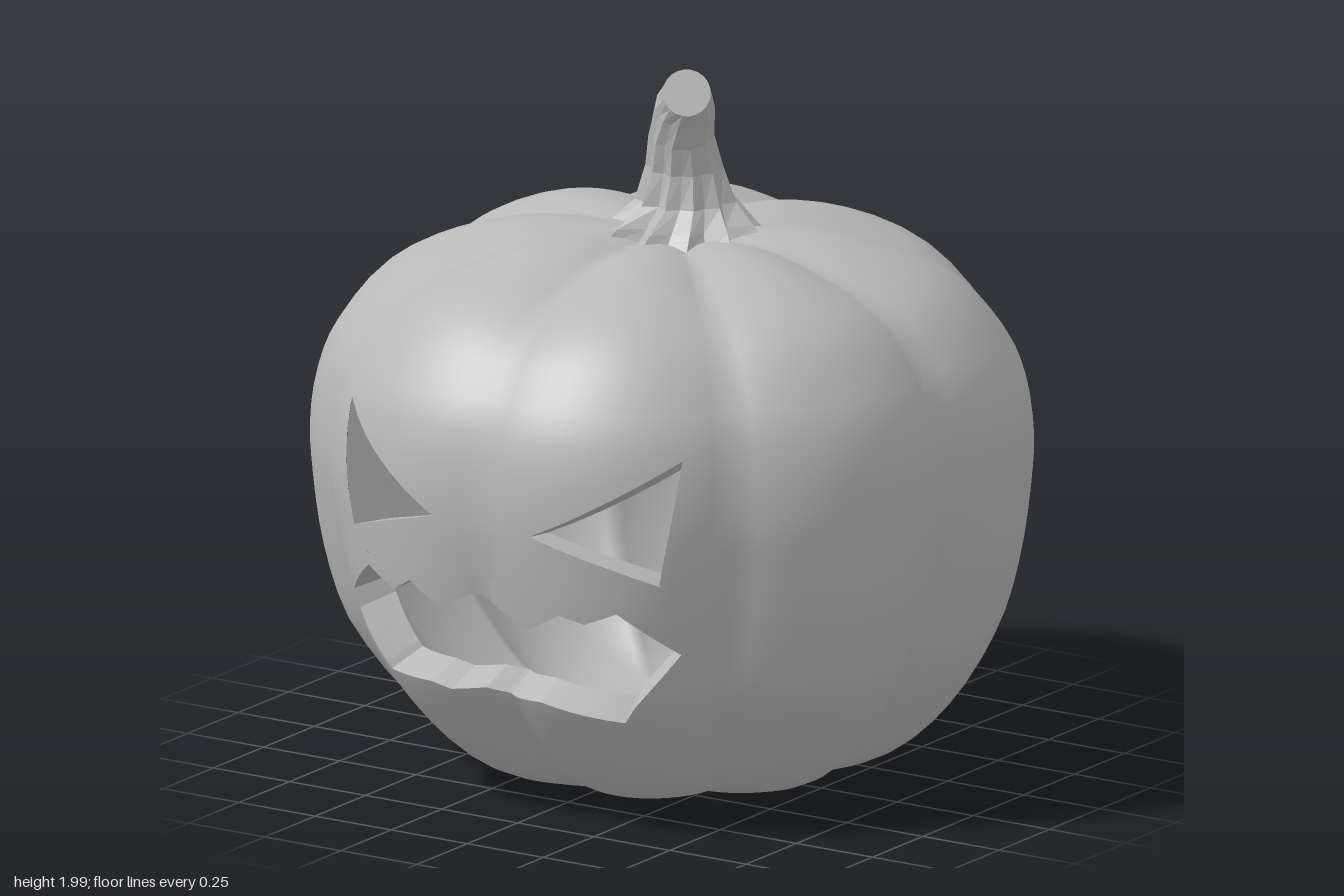
import * as THREE from 'three';

const V2 = (x, y) => new THREE.Vector2(x, y);
const WALL = 0.88; // inner skin scale about the centre
const CENTRE = new THREE.Vector3(0, 0.76, 0);

// Radius and height from the base centre up to the stem seat
const profile = new THREE.SplineCurve([
  [0, 0.025], [0.2, 0.015], [0.4, 0.004], [0.59, 0.06], [0.75, 0.2], [0.885, 0.4], [0.955, 0.6], [0.99, 0.8],
  [1, 0.95], [0.98, 1.1], [0.925, 1.23], [0.8, 1.38], [0.62, 1.475], [0.4, 1.53], [0.2, 1.525], [0, 1.5],
].map(([r, y]) => V2(r, y)));

// Eight lobes: radius at each crease and at each crest, from the front round by the left
const crease = [0.93, 0.9, 0.905, 0.96, 0.92, 0.975, 0.905, 0.945];
const crest = [0.975, 0.96, 1.0, 0.99, 1.02, 1.0, 0.985, 0.975];

function skin(theta, t) {
  const { x: r, y } = profile.getPoint(THREE.MathUtils.clamp(t, 0, 1));
  const a = (theta / (Math.PI / 4) + 16) % 8, i = Math.floor(a), f = a - i;
  const c0 = crease[i], c1 = crease[(i + 1) % 8], arch = Math.sin(Math.PI * f);
  const low = Math.max(0, 1 - y / 0.85), high = Math.max(0, (y - 1.2) / 0.3);
  const lobe = c0 + (c1 - c0) * f + (crest[i] - (c0 + c1) / 2) * Math.pow(arch, 0.8) + 0.09 * low * (arch - 0.64);
  const dip = 0.035 * high * Math.min(1, r * 2) * (1 - arch);
  const back = 0.05 * Math.max(0, 1 - y / 0.4);
  return new THREE.Vector3(r * lobe * Math.sin(theta), y - dip, r * lobe * Math.cos(theta) - back);
}
// The inner skin is slid sideways a little so the cuts run more nearly straight back
const slide = (theta) => theta + 0.05 * Math.sin(theta);
const innerSkin = (theta, t) => skin(slide(theta), t).sub(CENTRE).multiplyScalar(WALL).add(CENTRE);

function skinNormal(theta, t) {
  const e = 0.015;
  const u = skin(theta + e, t).sub(skin(theta - e, t));
  const v = skin(theta, t + e).sub(skin(theta, t - e));
  const n = u.cross(v);
  return n.length() < 1e-6 ? n.set(0, t < 0.5 ? -1 : 1, 0) : n.normalize();
}

// Front position (x, y) to skin coordinates (theta, t)
function bisect(lo, hi, f, target) {
  for (let k = 0; k < 40; k++) {
    const m = (lo + hi) / 2;
    if (f(m) < target) lo = m; else hi = m;
  }
  return (lo + hi) / 2;
}
function toSkin([x, y]) {
  const t = bisect(2 / 15, 13 / 15, (s) => profile.getPoint(s).y, y);
  return V2(bisect(-1.2, 1.2, (a) => skin(a, t).x, x), t);
}

// Part of a convex polygon on one side of the line a-b
const side = (p, a, b) => (b.x - a.x) * (p.y - a.y) - (b.y - a.y) * (p.x - a.x);
function clip(poly, a, b, sign) {
  const out = [];
  poly.forEach((p, i) => {
    const q = poly[(i + 1) % poly.length];
    const dp = sign * side(p, a, b), dq = sign * side(q, a, b);
    if (dp >= 0) out.push(p);
    if (dp * dq < 0) out.push(p.clone().lerp(q, dp / (dp - dq)));
  });
  return out;
}
const solid = (poly) => poly.length > 2 && Math.abs(THREE.ShapeUtils.area(poly)) > 1e-9;

// Cuts a convex hole out of a convex polygon, leaving convex pieces
function subtract(poly, hole) {
  const out = [];
  let rest = poly;
  for (let i = 0; i < hole.length; i++) {
    const a = hole[i], b = hole[(i + 1) % hole.length];
    const outside = clip(rest, a, b, -1);
    if (solid(outside)) out.push(outside);
    rest = clip(rest, a, b, 1);
    if (!solid(rest)) return [poly];
  }
  return out;
}

function geometryFrom(positions, normals) {
  const g = new THREE.BufferGeometry();
  g.setAttribute('position', new THREE.Float32BufferAttribute(positions, 3));
  if (normals) g.setAttribute('normal', new THREE.Float32BufferAttribute(normals, 3));
  else g.computeVertexNormals();
  return g;
}

function shellGeometry(pieces, inner) {
  const pos = [], nor = [];
  for (const piece of pieces) {
    for (let i = 1; i < piece.length - 1; i++) {
      const tri = inner ? [piece[0], piece[i + 1], piece[i]] : [piece[0], piece[i], piece[i + 1]];
      for (const p of tri) {
        pos.push(...(inner ? innerSkin : skin)(p.x, p.y).toArray());
        nor.push(...skinNormal(inner ? slide(p.x) : p.x, p.y).multiplyScalar(inner ? -1 : 1).toArray());
      }
    }
  }
  return geometryFrom(pos, nor);
}

// Cut wall joining outer and inner skins round a counterclockwise outline
function rimGeometry(outline) {
  const pos = [], steps = 5;
  outline.forEach((p, i) => {
    const q = outline[(i + 1) % outline.length];
    for (let k = 0; k < steps; k++) {
      const a = p.clone().lerp(q, k / steps), b = p.clone().lerp(q, (k + 1) / steps);
      const ao = skin(a.x, a.y), bo = skin(b.x, b.y), ai = innerSkin(a.x, a.y), bi = innerSkin(b.x, b.y);
      for (const v of [ao, bo, bi, ao, bi, ai]) pos.push(...v.toArray());
    }
  });
  return geometryFrom(pos);
}

// Ridged stem that flares at the foot and bends over at the tip
function stemGeometry() {
  const rings = [ // x, y, z, radius, ridge depth, bend
    [0.03, 1.49, -0.02, 0, 0, 0], [0.03, 1.5, -0.02, 0.21, 0.13, 0], [0.03, 1.545, -0.02, 0.175, 0.13, 0],
    [0.03, 1.6, -0.035, 0.13, 0.08, 0], [0.03, 1.7, -0.03, 0.103, 0.05, 0.1], [0.04, 1.8, 0, 0.088, 0.035, 0.35],
    [0.075, 1.89, 0.035, 0.08, 0.03, 0.65], [0.108, 1.938, 0.075, 0.066, 0, 1], [0.108, 1.938, 0.075, 0, 0, 1],
  ];
  const n = 22, up = new THREE.Vector3(0, 1, 0), tip = new THREE.Vector3(0.5, 0.45, 0.7).normalize();
  const pts = rings.map(([x, y, z, r, ridge, bend], j) => {
    const turn = new THREE.Quaternion().setFromUnitVectors(up, up.clone().lerp(tip, bend).normalize());
    return Array.from({ length: n }, (_, i) => {
      const a = (i / n) * Math.PI * 2 + j * 0.06;
      const s = r * (1 + (i % 2 ? -ridge : ridge) + ridge * 0.4 * Math.sin(i * 2.3));
      return new THREE.Vector3(Math.sin(a) * s, 0, Math.cos(a) * s).applyQuaternion(turn).add(new THREE.Vector3(x, y, z));
    });
  });
  const pos = [];
  for (let j = 0; j < pts.length - 1; j++) {
    for (let i = 0; i < n; i++) {
      const k = (i + 1) % n, a = pts[j][i], b = pts[j][k], c = pts[j + 1][k], d = pts[j + 1][i];
      for (const v of [a, b, c, a, c, d]) pos.push(...v.toArray());
    }
  }
  return geometryFrom(pos);
}

export function createModel() {
  const group = new THREE.Group();
  const grey = new THREE.MeshStandardMaterial({ color: 0xb8b8b8 });
  grey.name = 'plain grey';
  const add = (name, geometry) => {
    const mesh = new THREE.Mesh(geometry, grey);
    mesh.name = name;
    group.add(mesh);
  };

  // Slanted eyes, counterclockwise
  const rightEye = [[-0.525, 1.14], [-0.48, 0.8], [-0.15, 0.9]].map(toSkin);
  const leftEye = [[0.54, 1.115], [0.17, 0.89], [0.5, 0.765]].map(toSkin);

  // Jagged mouth, cut into upright slices
  const upper = [[-0.55, 0.58], [-0.415, 0.7], [-0.31, 0.655], [-0.245, 0.695], [-0.16, 0.635], [-0.035, 0.69],
    [0.135, 0.61], [0.245, 0.67], [0.315, 0.65], [0.4, 0.685], [0.52, 0.555]];
  const lower = [[-0.55, 0.58], [-0.53, 0.53], [-0.4, 0.385], [-0.23, 0.39], [-0.17, 0.375], [-0.06, 0.395],
    [0.03, 0.375], [0.13, 0.385], [0.36, 0.345], [0.52, 0.555]];
  const heightAt = (line, x) => {
    const i = Math.max(1, line.findIndex((p) => p[0] >= x)), [a, b] = [line[i - 1], line[i]];
    return a[1] + (b[1] - a[1]) * (x - a[0]) / (b[0] - a[0]);
  };
  const xs = [...new Set([...upper, ...lower].map((p) => p[0]))].sort((a, b) => a - b);
  const top = xs.map((x) => toSkin([x, heightAt(upper, x)]));
  const bottom = xs.map((x) => toSkin([x, heightAt(lower, x)]));
  const slices = xs.slice(1).map((_, i) => [bottom[i], bottom[i + 1], top[i + 1], top[i]]
    .filter((p, k, all) => p.distanceTo(all[(k + 1) % all.length]) > 1e-6));
  const mouth = [...bottom, ...top.slice(1, -1).reverse()];

  // Skin grid with the face cut out
  const across = 96, rise = 45, holes = [rightEye, leftEye, ...slices];
  let pieces = [];
  for (let i = 0; i < across; i++) {
    for (let j = 0; j < rise; j++) {
      const at = (a, b) => V2(((i + a) / across * 2 - 1) * Math.PI, (j + b) / rise);
      pieces.push([at(0, 0), at(1, 0), at(1, 1), at(0, 1)]);
    }
  }
  for (const hole of holes) pieces = pieces.flatMap((p) => subtract(p, hole));

  add('outerSkin', shellGeometry(pieces, false));
  add('innerSkin', shellGeometry(pieces, true));
  add('rightEyeRim', rimGeometry(rightEye));
  add('leftEyeRim', rimGeometry(leftEye));
  add('mouthRim', rimGeometry(mouth));
  add('stem', stemGeometry());
  return group;
}
